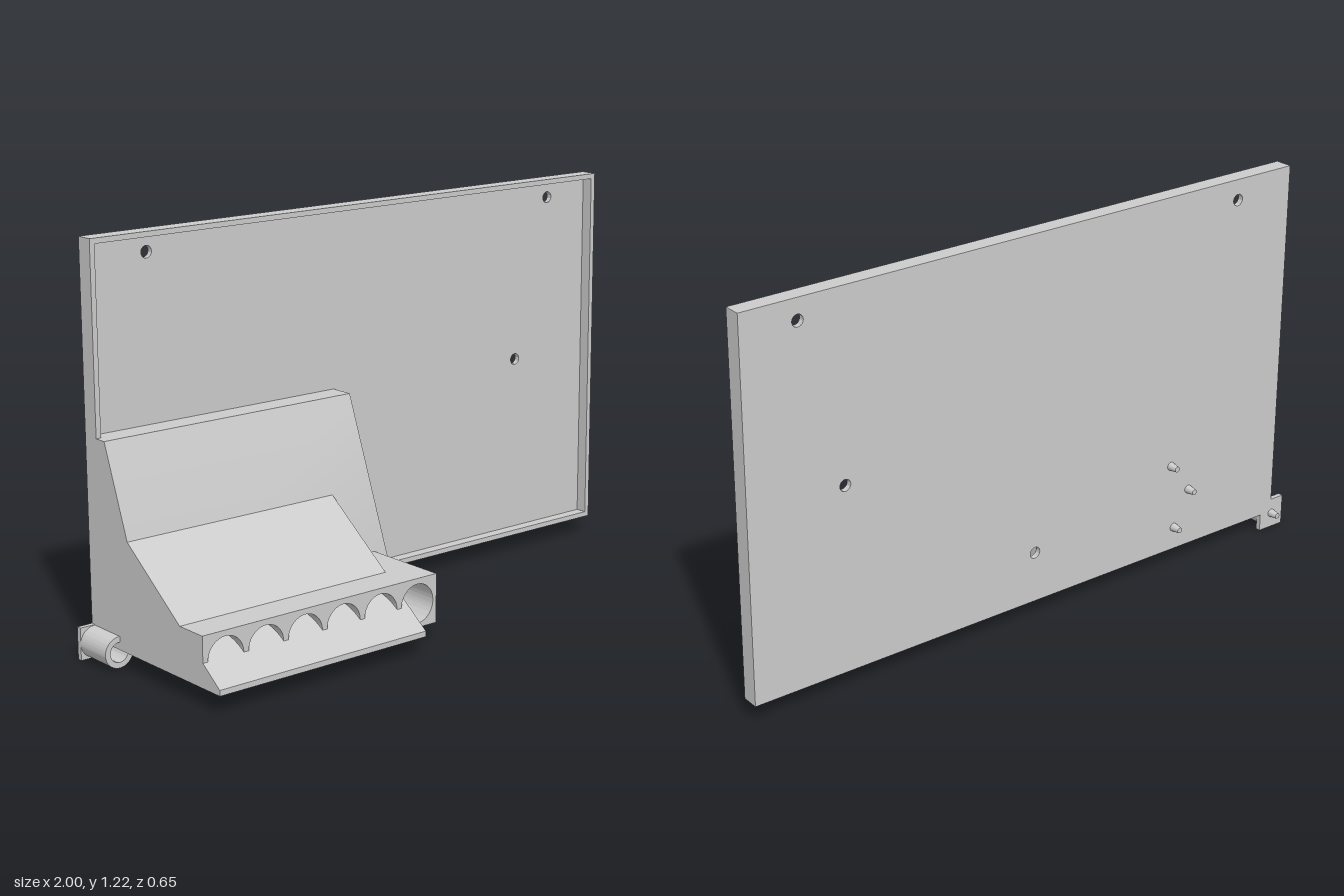
import * as THREE from 'three';
import { toCreasedNormals } from 'three/addons/utils/BufferGeometryUtils.js';

const material = new THREE.MeshStandardMaterial({ color: 0xcccccc });

function addMesh(group, name, geometry) {
  const mesh = new THREE.Mesh(geometry, material);
  mesh.name = name;
  group.add(mesh);
  return mesh;
}

function rectPoints(x0, x1, y0, y1) {
  return [[x0, y0], [x1, y0], [x1, y1], [x0, y1]].map(([x, y]) => new THREE.Vector2(x, y));
}

function circlePath(x, y, r) {
  return new THREE.Path().absarc(x, y, r, 0, Math.PI * 2, true);
}

function extrude(shape, depth) {
  const geometry = new THREE.ExtrudeGeometry(shape, { depth, bevelEnabled: false, curveSegments: 32 });
  return toCreasedNormals(geometry, 0.6);
}

// Front outline (x, y) with holes, extruded from z0 to z1
function frontSlab(shape, holes, z0, z1) {
  shape.holes.push(...holes);
  return extrude(shape, z1 - z0).translate(0, 0, z0);
}

// Side profile of [z, y] points, extruded from x0 to x1
function sideProfile(points, x0, x1) {
  const shape = new THREE.Shape(points.map(([z, y]) => new THREE.Vector2(z, y)));
  return extrude(shape, x1 - x0).rotateY(-Math.PI / 2).translate(x1, 0, 0);
}

export function createModel() {
  const model = new THREE.Group();
  model.name = 'wallPanelWithDispenser';
  const left = -0.95, base = 0.055, back = -0.295, floor = -0.277, front = -0.24;

  // Back panel with mounting holes
  const mountHoles = [[-0.74, 1.155], [0.82, 1.155], [0.685, 0.638], [0.02, 0.217]];
  addMesh(model, 'backPanel', frontSlab(
    new THREE.Shape(rectPoints(left, 1, base, 1.22)),
    mountHoles.map(([x, y]) => circlePath(x, y, 0.018)), back, floor));

  // Thin raised rim round the panel
  addMesh(model, 'panelRim', frontSlab(
    new THREE.Shape(rectPoints(left, 1, base, 1.22)),
    [new THREE.Path(rectPoints(left + 0.016, 0.984, base + 0.016, 1.204))], floor, front));

  // Steep sloping body against the panel
  addMesh(model, 'slopedBody', sideProfile(
    [[floor - 0.005, base], [0.018, base], [0.018, 0.07], [-0.2, 0.655], [floor - 0.005, 0.655]], left, -0.07));

  // Shallow ramp that runs through the trough out to the front lip
  addMesh(model, 'ramp', sideProfile(
    [[-0.15, base], [0.325, base], [0.325, 0.072], [-0.105, 0.39], [-0.15, 0.39]], left, -0.22));

  // Box bored by a row of round tunnels above the ramp
  const tunnels = [];
  for (let i = 0; i < 6; i++) tunnels.push(circlePath(-0.873 + i * 0.137, 0.128, 0.06));
  addMesh(model, 'tunnelBox', frontSlab(
    new THREE.Shape(rectPoints(left, -0.115, base, 0.205)), tunnels, -0.04, 0.25));

  // Small tab beside the box
  addMesh(model, 'sideTab', new THREE.BoxGeometry(0.123, 0.032, 0.06).translate(-0.1585, 0.086, -0.008));

  // Corner foot: square flange and hollow tube
  const footX = -0.953, footY = 0.049;
  addMesh(model, 'footFlange',
    new THREE.BoxGeometry(0.094, 0.098, 0.016).translate(footX, footY, back + 0.008));
  addMesh(model, 'footTube', frontSlab(
    new THREE.Shape().absarc(footX, footY, 0.047, 0, Math.PI * 2, false),
    [circlePath(footX, footY, 0.03)], back + 0.016, -0.152));

  // Tapered pegs on the back
  const pegs = [[-0.51, 0.345], [-0.585, 0.245], [-0.53, 0.13], [footX, footY]];
  for (const [x, y] of pegs) {
    const peg = addMesh(model, 'backPeg', new THREE.CylinderGeometry(0.014, 0.009, 0.034, 24));
    peg.rotation.x = Math.PI / 2;
    peg.position.set(x, y, -0.308);
  }

  return model;
}
